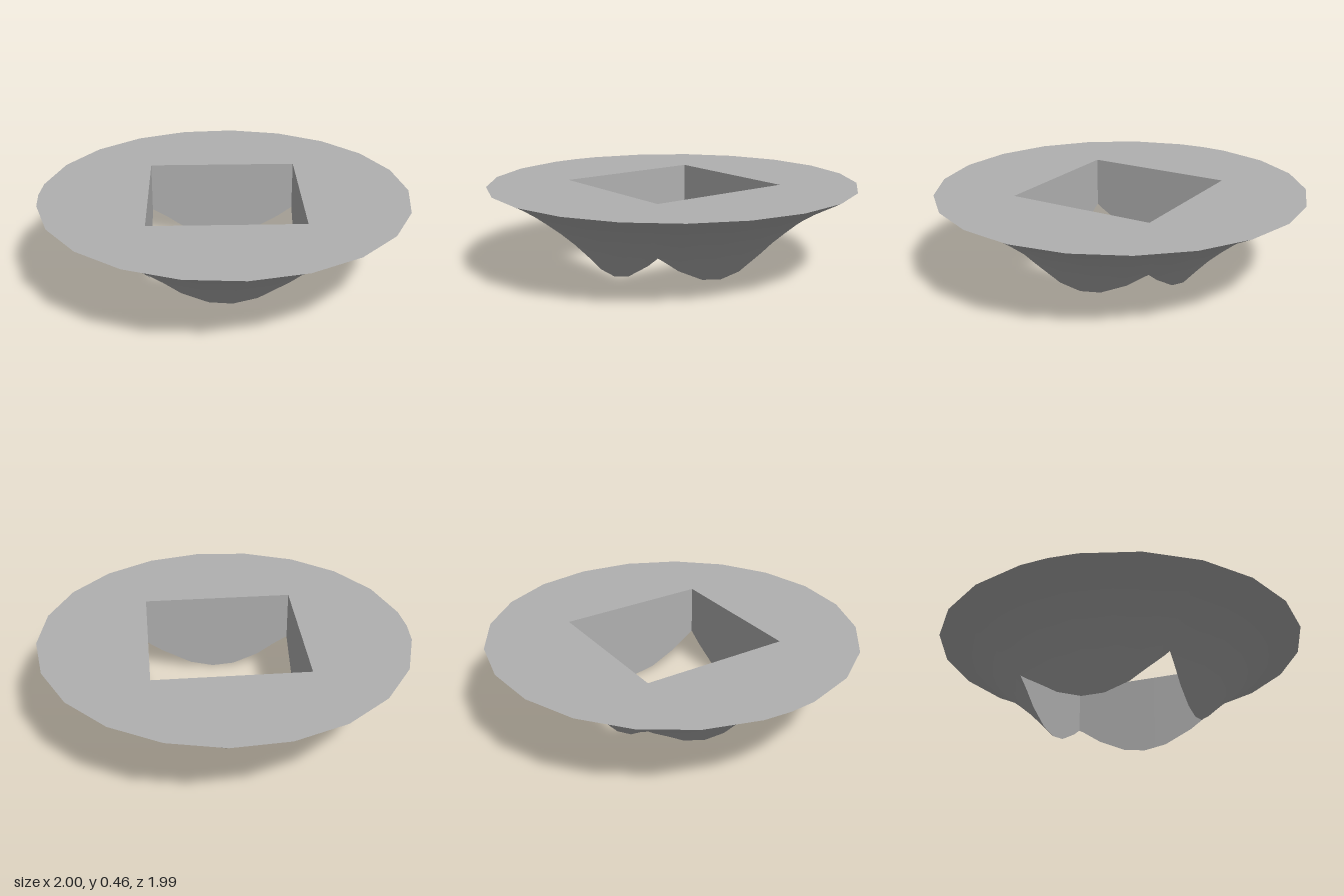
import * as THREE from 'three';

const SIDES = 21, HOLE = 0.41, RIM_Y = 0.46;
// flared profile: radius, height
const PROFILE = [[0.3, -0.13], [0.41, 0.005], [0.54, 0.145], [0.665, 0.255], [0.82, 0.368], [1, RIM_Y]];

function heightAt(r) {
  let i = 1;
  while (i < PROFILE.length - 1 && r > PROFILE[i][0]) i++;
  const [r0, y0] = PROFILE[i - 1], [r1, y1] = PROFILE[i];
  return y0 + (y1 - y0) * (r - r0) / (r1 - r0);
}

// ratio of the faceted outline to its circumscribed circle at an angle
function facet(a) {
  const step = 2 * Math.PI / SIDES;
  const off = (a % step) - step / 2;
  return Math.cos(step / 2) / Math.cos(off);
}

// closed bands between successive loops of points
function bands(rows, flat) {
  const n = rows[0].length, index = [];
  for (let i = 0; i < rows.length - 1; i++) {
    for (let j = 0; j < n; j++) {
      const k = (j + 1) % n;
      const a = i * n + j, b = a + n, c = i * n + k, d = c + n;
      index.push(a, b, c, b, d, c);
    }
  }
  let g = new THREE.BufferGeometry();
  g.setAttribute('position', new THREE.Float32BufferAttribute(rows.flat(2), 3));
  g.setIndex(index);
  if (flat) g = g.toNonIndexed();
  g.computeVertexNormals();
  return g;
}

export function createModel() {
  const group = new THREE.Group();
  const grey = new THREE.MeshStandardMaterial({ color: 0xb0b0b0 });
  const add = (name, geometry) => {
    const mesh = new THREE.Mesh(geometry, grey);
    mesh.name = name;
    group.add(mesh);
  };

  // facet corners and middles, plus the corners of the square hole
  const angles = [];
  for (let k = 0; k < SIDES * 2; k++) angles.push(k * Math.PI / SIDES);
  for (let k = 0; k < 4; k++) angles.push((k + 0.5) * Math.PI / 2);
  angles.sort((a, b) => a - b);

  const inner = a => HOLE / Math.max(Math.abs(Math.cos(a)), Math.abs(Math.sin(a)));
  const outer = a => (Math.abs(a - Math.PI) < 1e-6 ? 1 : facet(a));
  const at = (a, r, y) => [Math.cos(a) * r, y, Math.sin(a) * r];
  const under = (a, t) => {
    const r = THREE.MathUtils.lerp(inner(a), outer(a), t);
    return at(a, r, heightAt(Math.min(1, r / facet(a))));
  };

  const holeTop = angles.map(a => at(a, inner(a), RIM_Y));
  const holeBottom = angles.map(a => under(a, 0));
  const rim = angles.map(a => at(a, outer(a), RIM_Y));

  // flared underside
  const rows = [];
  for (let i = 0; i <= 8; i++) rows.push(angles.map(a => under(a, i / 8)));
  add('flaredUnderside', bands(rows, false));

  // flat top around the square hole
  add('topFace', bands([rim, holeTop], true));

  // four walls of the hole
  add('holeWalls', bands([holeTop, holeBottom], true));

  return group;
}
